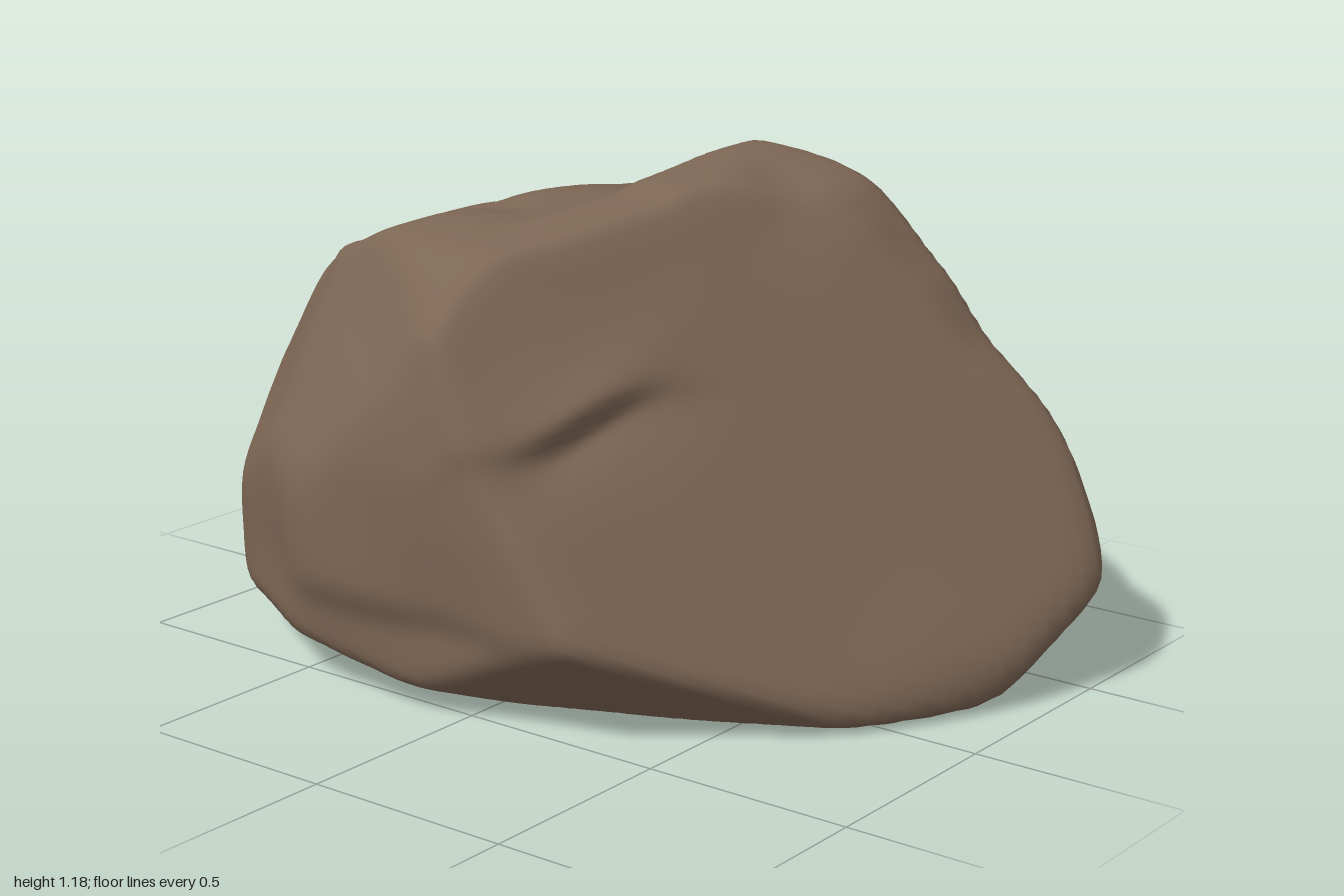
import * as THREE from 'three';
import { mergeVertices } from 'three/addons/utils/BufferGeometryUtils.js';

const CENTRE = new THREE.Vector3(0, 0.5, -0.1);

// Outlines of the boulder: front (x, y), side (z, y) and plan (x, z)
const FRONT = [[-0.85, 0.11], [-0.75, 0.05], [0, 0], [0.88, 0], [0.95, 0.06], [1.02, 0.25], [0.97, 0.37], [0.89, 0.52], [0.81, 0.62],
  [0.66, 0.76], [0.57, 0.89], [0.37, 1.095], [0.3, 1.125], [0.09, 1.185], [0.06, 1.17], [0, 1.1], [-0.12, 1.055], [-0.32, 1.055],
  [-0.4, 1.02], [-0.56, 0.955], [-0.67, 0.945], [-0.81, 0.865], [-0.92, 0.71], [-1.01, 0.58], [-1.01, 0.46], [-0.97, 0.35]];
const SIDE = [[0.57, 0.05], [0.44, 0], [0, 0], [-0.36, 0], [-0.6, 0.06], [-0.6, 0.3], [-0.615, 0.58], [-0.58, 0.84], [-0.555, 1.03],
  [-0.52, 1.14], [-0.44, 1.18], [-0.28, 1.17], [-0.04, 1.13], [0, 1.105], [0.37, 1.025], [0.46, 0.965], [0.56, 0.87],
  [0.59, 0.72], [0.615, 0.55], [0.615, 0.27], [0.58, 0.2]];
const PLAN = [[-0.92, -0.53], [-0.88, -0.57], [-0.6, -0.615], [0, -0.6], [0.5, -0.605], [0.9, -0.615], [0.98, -0.59], [1.02, -0.5],
  [0.96, -0.32], [0.79, 0], [0.66, 0.22], [0.51, 0.41], [0.34, 0.57], [0, 0.61], [-0.2, 0.62], [-0.4, 0.61], [-0.48, 0.58],
  [-0.76, 0.43], [-0.93, 0.28], [-1.01, 0.14], [-1, 0]];

// Oblique facets: normal, then a point on the facet
const FACETS = [
  [[0.83, 0.5, 0.53], [1.01, 0.25, -0.5]],        // large slanted face
  [[-0.68, 0.4, 0.62], [-0.8, 0.74, 0.17]],       // upper front corner
  [[-0.35, 0.42, 0.84], [-0.4, 1.0, 0.36]],       // upper front
  [[-0.76, -0.6, -0.24], [-0.86, 0.4, -0.56]],    // undercut at the side
  [[0.3, -0.75, 0.6], [0.5, 0.15, 0.38]],         // undercut at the front
  [[-0.12, -0.98, 0.12], [-0.2, 0.015, 0.2]],     // rising underside
  [[0.5, -0.75, -0.4], [0.94, 0.18, -0.55]],      // undercut at the corner
  [[-0.6, -0.1, -0.78], [-0.82, 0.42, -0.57]],    // chamfer at the back
  [[-0.6, 0.75, -0.3], [-0.75, 0.875, -0.4]],     // back shoulder
].map(([n, p]) => {
  const normal = new THREE.Vector3(...n).normalize();
  return { normal, height: normal.dot(new THREE.Vector3(...p).sub(CENTRE)) };
});

// Local swellings (+) and hollows (-): point, radius, amount
const BUMPS = [
  [[-0.55, 0.25, 0.5], 0.14, -0.012], [[-0.35, 0.38, 0.58], 0.18, 0.01], [[0.0, 0.25, 0.6], 0.13, -0.012],
  [[-0.3, 1.03, 0.05], 0.08, -0.02], [[-0.68, 0.89, 0.1], 0.1, -0.035],
  [[0.4, 1.0, -0.4], 0.1, 0.015], [[0.27, 1.05, -0.28], 0.09, -0.03], [[-0.25, 1.0, -0.54], 0.19, -0.065],
  [[-0.57, 0.33, -0.58], 0.14, -0.02], [[0.75, 0.25, 0.05], 0.12, -0.012],
].map(([p, radius, amount]) => ({ point: new THREE.Vector3(...p), radius, amount }));

// Inverse distance from the centre to an outline along (a, b)
function outlineHit(outline, ca, cb, a, b) {
  let best = 0;
  outline.forEach(([p0, p1], i) => {
    const q = outline[(i + 1) % outline.length];
    const px = p0 - ca, py = p1 - cb, ex = q[0] - p0, ey = q[1] - p1;
    const den = a * ey - b * ex;
    if (Math.abs(den) < 1e-9) return;
    const t = (px * ey - py * ex) / den, s = (px * b - py * a) / den;
    if (t > 0 && s > -1e-6 && s < 1 + 1e-6) best = Math.max(best, 1 / t);
  });
  return best;
}

// Soft minimum of the distances to all outlines and facets
function reach(d) {
  const limits = [
    outlineHit(FRONT, CENTRE.x, CENTRE.y, d.x, d.y),
    outlineHit(SIDE, CENTRE.z, CENTRE.y, d.z, d.y),
    outlineHit(PLAN, CENTRE.x, CENTRE.z, d.x, d.z),
    ...FACETS.map(f => Math.max(0, d.dot(f.normal) / f.height)),
  ];
  const p = 80;
  return Math.pow(limits.reduce((sum, v) => sum + Math.pow(v, p), 0), -1 / p);
}

// Average over neighbouring directions to wear the edges round
const OFFSETS = [[0, 0, 0], [1, 0, 0], [-1, 0, 0], [0, 1, 0], [0, -1, 0], [0, 0, 1], [0, 0, -1]]
  .map(o => new THREE.Vector3(...o).multiplyScalar(0.04));

function surfacePoint(d) {
  const s = new THREE.Vector3();
  let r = 0;
  for (const o of OFFSETS) r += reach(s.copy(d).add(o).normalize()) / OFFSETS.length;
  const p = d.clone().multiplyScalar(r).add(CENTRE);
  let shift = 0;
  for (const b of BUMPS) shift += b.amount * Math.exp(-p.distanceToSquared(b.point) / (b.radius * b.radius));
  // Ledge across the slanted face
  const line = p.y - 0.66 - 0.5 * (p.x - 0.18) - 0.02 * Math.sin(p.x * 30);
  const near = Math.exp(-(((p.x - 0.18) / 0.14) ** 2) - (line / 0.14) ** 2 - ((p.z - 0.35) / 0.24) ** 2);
  shift += 0.034 * near * Math.tanh(line / 0.025);
  // Gentle weathering
  shift += 0.004 * Math.sin(p.x * 9 + p.y * 5) * Math.sin(p.y * 8 - p.z * 7 + 1) + 0.002 * Math.sin(p.z * 15 + p.x * 11);
  return p.addScaledVector(d, shift);
}

export function createModel() {
  const stone = new THREE.MeshStandardMaterial({ color: 0x7d6654 });
  stone.name = 'brownStone';

  let geometry = new THREE.IcosahedronGeometry(1, 38);
  geometry.deleteAttribute('uv');
  geometry.deleteAttribute('normal');
  geometry = mergeVertices(geometry, 1e-4);
  const pos = geometry.attributes.position;
  const v = new THREE.Vector3();
  for (let i = 0; i < pos.count; i++) {
    const p = surfacePoint(v.fromBufferAttribute(pos, i).normalize());
    pos.setXYZ(i, p.x, p.y, p.z);
  }

  // Rest the boulder on the ground
  geometry.computeBoundingBox();
  geometry.translate(0, -geometry.boundingBox.min.y, 0);
  geometry.computeVertexNormals();

  const boulder = new THREE.Mesh(geometry, stone);
  boulder.name = 'boulder';
  const group = new THREE.Group();
  group.name = 'rock';
  group.add(boulder);
  return group;
}
